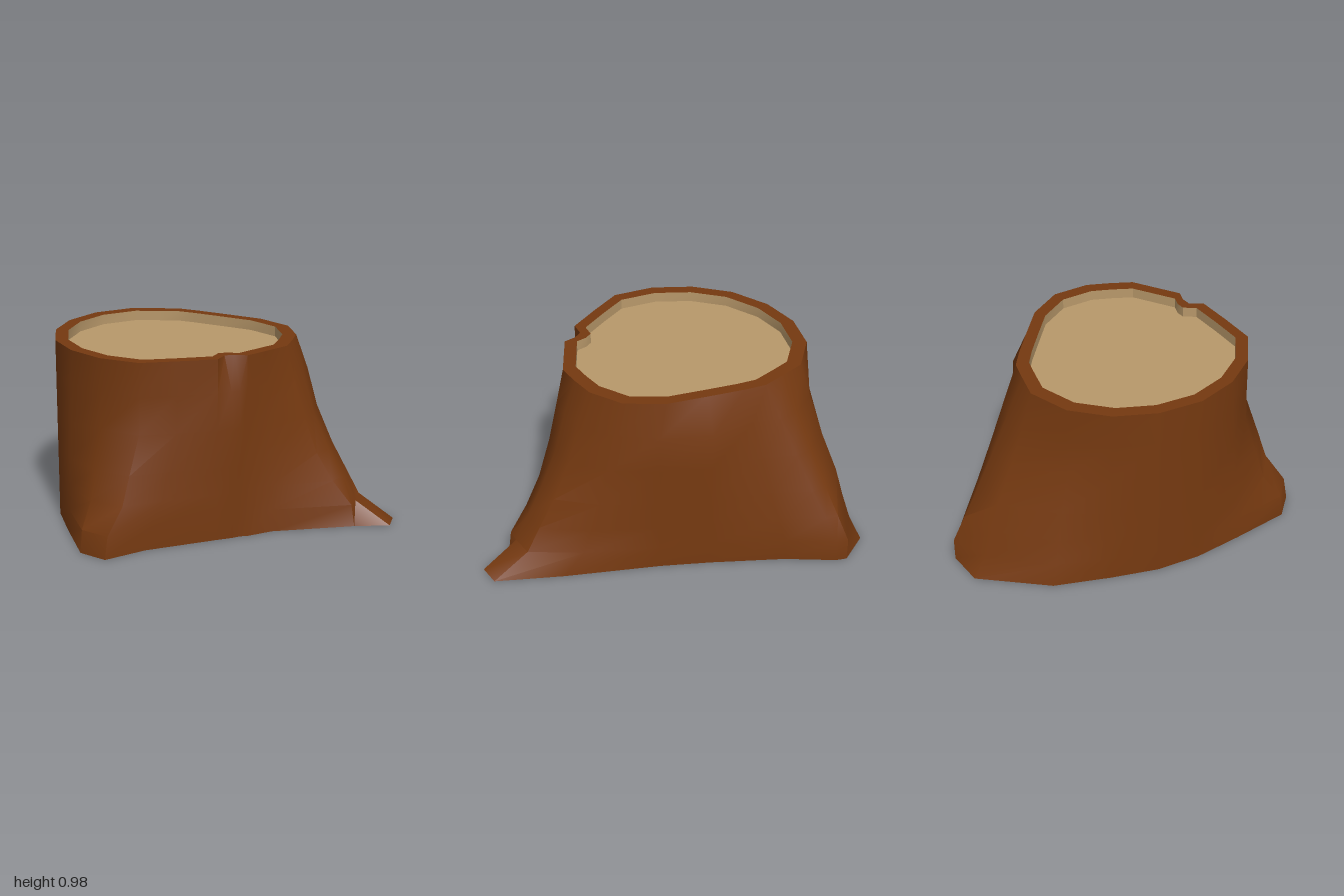
import * as THREE from 'three';
import { mergeVertices, toCreasedNormals } from 'three/addons/utils/BufferGeometryUtils.js';

const HEIGHTS = [0.005, 0.12, 0.25, 0.4, 0.6, 0.8, 0.98];

// How far each column reaches from the rim towards its foot, per height
const straight = [1, 0.85, 0.7, 0.5, 0.3, 0.1, 0];
const bulge = [1, 1, 1, 1, 1, 1, 0];
const crack = [1, 1, 1, 1, 1, 0.8, 0];
const leftRoot = [1, 0.92, 0.5, 0.3, 0.02, 0, 0];
const frontToe = [1, 0.66, 0.53, 0.38, 0.22, 0.12, 0];
const frontSide = [1, 0.95, 0.68, 0.45, 0.26, 0.12, 0];
const backRoot = [1, 0.82, 0.7, 0.58, 0.35, 0.15, 0];
const backSide = [1, 0.85, 0.65, 0.45, 0.08, 0, 0];
const cornerRoot = [1, 1, 0.84, 0.65, 0.42, 0.2, 0];

// Columns around the trunk: rim x, z, foot x, z, profile
const COLUMNS = [
  [-0.04, -0.79, -0.03, -0.83, straight],
  [0.19, -0.79, 0.24, -0.96, backSide],
  [0.40, -0.69, 0.65, -1.00, backRoot],
  [0.48, -0.57, 0.80, -0.87, cornerRoot],
  [0.55, -0.46, 0.80, -0.81, cornerRoot],
  [0.57, -0.34, 0.73, -0.55, cornerRoot],
  [0.59, -0.15, 0.67, -0.16, bulge],
  [0.61, 0.06, 0.64, 0.10, bulge],
  [0.56, 0.27, 0.61, 0.60, frontToe],
  [0.42, 0.41, 0.57, 0.96, frontToe],
  [0.30, 0.46, 0.46, 1.00, frontToe],
  [0.18, 0.50, 0.34, 0.85, frontSide],
  [0.04, 0.47, 0.02, 0.53, straight],
  [-0.10, 0.44, -0.11, 0.46, straight],
  [-0.13, 0.38, -0.14, 0.43, crack],
  [-0.17, 0.345, -0.18, 0.41, crack],
  [-0.25, 0.36, -0.25, 0.36, straight],
  [-0.40, 0.22, -0.58, 0.14, leftRoot],
  [-0.54, 0.08, -0.80, 0.05, leftRoot],
  [-0.58, -0.14, -0.80, -0.11, leftRoot],
  [-0.54, -0.36, -0.60, -0.36, straight],
  [-0.43, -0.56, -0.43, -0.56, straight],
  [-0.25, -0.71, -0.25, -0.71, straight],
];

// Joins successive rings of points into a skin
function skin(rings, crease) {
  const n = rings[0].length;
  const index = [];
  for (let r = 0; r < rings.length - 1; r++) {
    for (let i = 0; i < n; i++) {
      const j = (i + 1) % n;
      const a = r * n + i, b = r * n + j, c = a + n, d = b + n;
      index.push(b, a, c, b, c, d);
    }
  }
  const geometry = new THREE.BufferGeometry();
  geometry.setAttribute('position', new THREE.Float32BufferAttribute(rings.flat(2), 3));
  geometry.setIndex(index);
  return toCreasedNormals(mergeVertices(geometry), crease);
}

const collapse = (ring, x, y, z) => ring.map(() => [x, y, z]);

export function createModel() {
  const bark = new THREE.MeshStandardMaterial({ color: 0x753910 });
  bark.name = 'bark brown';
  const wood = new THREE.MeshStandardMaterial({ color: 0xb8986a });
  wood.name = 'cut wood';

  const group = new THREE.Group();
  group.name = 'treeStump';
  const add = (name, geometry, material) => {
    const mesh = new THREE.Mesh(geometry, material);
    mesh.name = name;
    group.add(mesh);
  };

  const trunk = HEIGHTS.map((y, k) => COLUMNS.map(([tx, tz, fx, fz, profile]) => [
    tx + (fx - tx) * profile[k], y, tz + (fz - tz) * profile[k],
  ]));
  const foot = trunk[0].map(([x, , z]) => [x, 0, z]);
  trunk[0] = foot;
  const rim = trunk[trunk.length - 1];
  const inner = rim.map(([x, y, z]) => [0.02 + (x - 0.02) * 0.89, y, -0.13 + (z + 0.13) * 0.89]);
  const floor = inner.map(([x, , z]) => [x, 0.925, z]);

  // Flared trunk with its three roots
  add('trunkAndRoots', skin(trunk, 0.75), bark);
  // Bark edge around the cut
  add('barkRim', skin([rim, inner], 0.1), bark);
  // Closed base
  add('underside', skin([collapse(foot, 0.15, 0, -0.1), foot], 0.1), bark);
  // Sunken cut face and the short wall around it
  add('innerWall', skin([inner, floor], 0.5), wood);
  add('cutFace', skin([floor, collapse(floor, 0.02, 0.925, -0.13)], 0.1), wood);

  return group;
}
